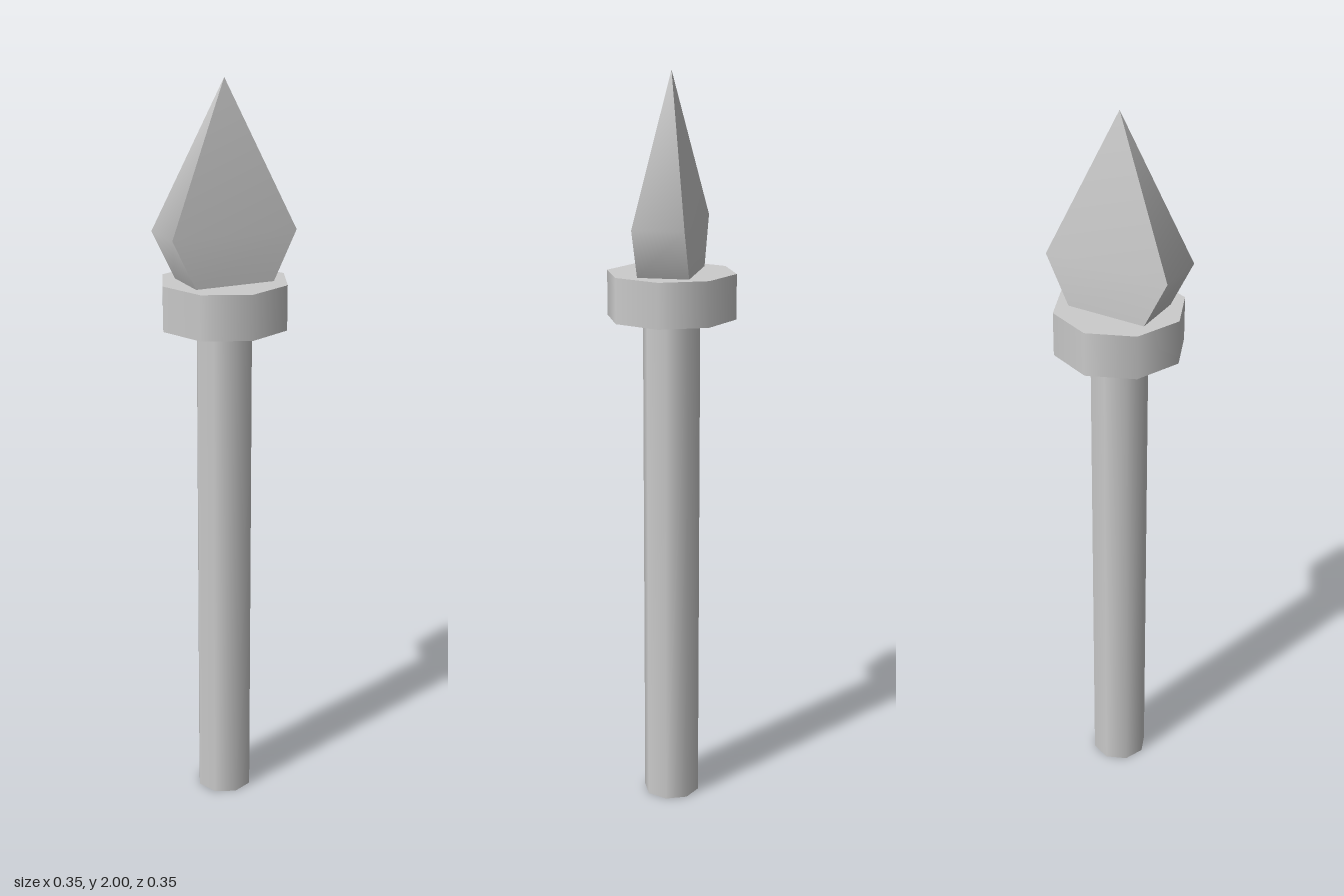
import * as THREE from 'three';
import { toCreasedNormals } from 'three/addons/utils/BufferGeometryUtils.js';

const SIDES = 8;

function createMaterial() {
  return new THREE.MeshStandardMaterial({ color: 0xcccccc, side: THREE.DoubleSide });
}

// Eight-sided upright cylinder between two heights
function addCylinder(group, name, radius, bottom, top, open) {
  const geometry = new THREE.CylinderGeometry(radius, radius, top - bottom, SIDES, 1, open);
  geometry.translate(0, (bottom + top) / 2, 0);
  const mesh = new THREE.Mesh(geometry, createMaterial());
  mesh.name = name;
  group.add(mesh);
}

// Four-sided blade: tapered foot, wide shoulders, pointed tip
function createBladeGeometry() {
  const rows = [
    { y: 1.485, x: 0.11, z: 0.068 },
    { y: 1.615, x: 0.174, z: 0.068 },
    { y: 2, x: 0, z: 0 },
  ];
  const geometry = new THREE.CylinderGeometry(0, 1, 2, 4, 2, false, Math.PI / 4);
  const position = geometry.attributes.position;
  for (let i = 0; i < position.count; i++) {
    const row = rows[Math.round(position.getY(i)) + 1];
    const signOf = (v) => (Math.abs(v) < 1e-6 ? 0 : Math.sign(v));
    position.setXYZ(i, signOf(position.getX(i)) * row.x, row.y, signOf(position.getZ(i)) * row.z);
  }
  return toCreasedNormals(geometry, Math.PI / 3);
}

export function createModel() {
  const model = new THREE.Group();
  model.name = 'spear';

  // Hollow shaft, open at the foot
  addCylinder(model, 'shaft', 0.077, 0, 1.365, true);

  // Collar that carries the blade
  addCylinder(model, 'collar', 0.173, 1.365, 1.485, false);

  const blade = new THREE.Mesh(createBladeGeometry(), createMaterial());
  blade.name = 'blade';
  model.add(blade);

  return model;
}
